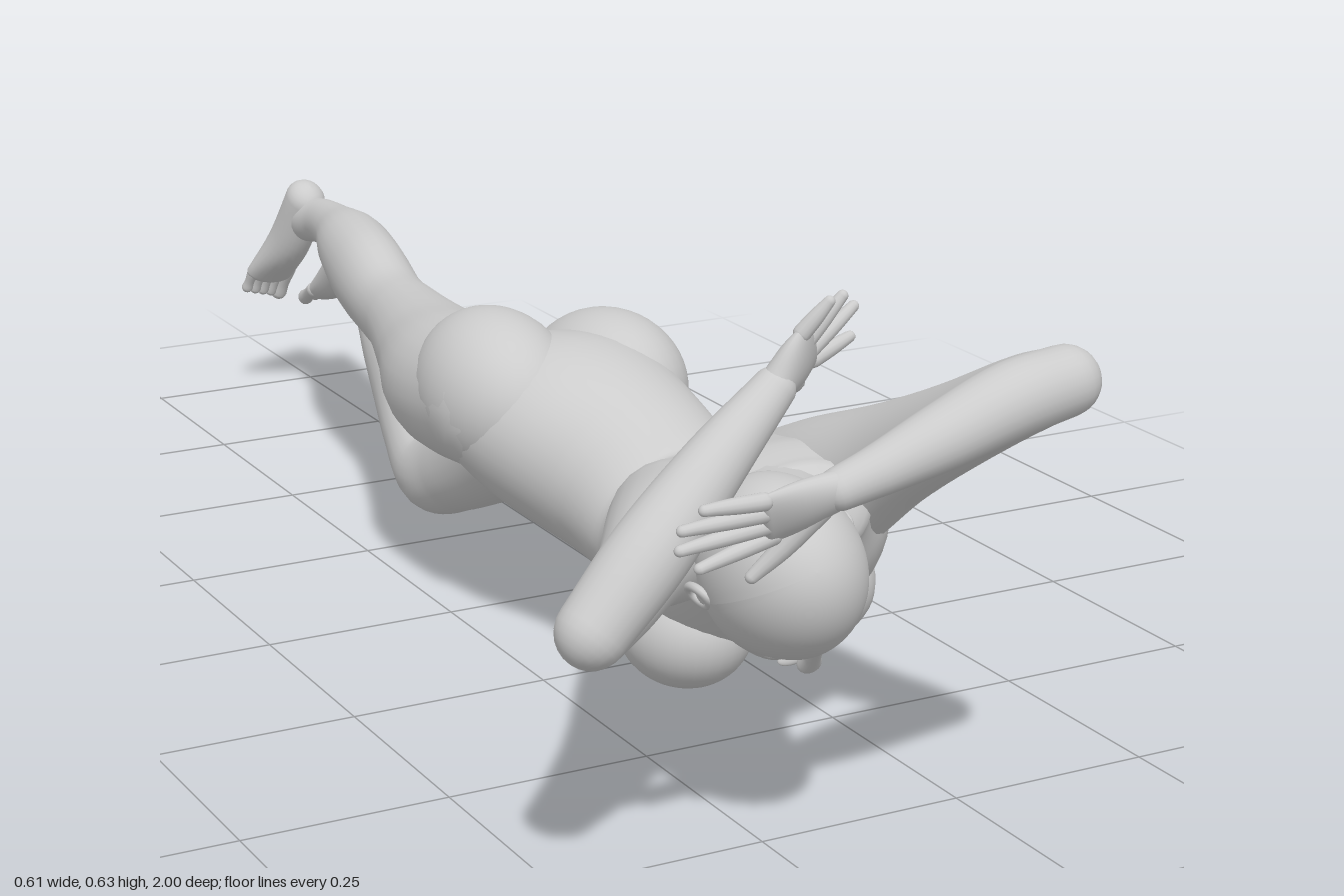
import * as THREE from 'three';

const V = (a) => new THREE.Vector3(a[0], a[1], a[2]);
const material = new THREE.MeshStandardMaterial({ color: 0xcccccc });

// Smooth closed skin through elliptical sections [x, y, z, halfWidth, halfHeight, roll], domed at both ends
function loft(name, sections, { up = [0, 1, 0], sides = 24, steps = 6, cap = 1 } = {}) {
  const path = new THREE.CatmullRomCurve3(sections.map(V));
  const size = new THREE.CatmullRomCurve3(
    sections.map((s) => new THREE.Vector3(s[3], s[4] ?? s[3], s[5] ?? 0)), false, 'catmullrom');
  const n = (sections.length - 1) * steps;
  const rings = [];
  const addRing = (t, shift, scale) => {
    const tangent = path.getTangent(t);
    const s = size.getPoint(t);
    const centre = path.getPoint(t).addScaledVector(tangent, shift * Math.min(s.x, s.y) * cap);
    rings.push({ centre, tangent, a: s.x * scale, b: s.y * scale, roll: s.z });
  };
  const capSteps = 6;
  for (let k = 0; k < capSteps; k++) {
    const f = (k / capSteps) * Math.PI / 2;
    addRing(0, -Math.cos(f), Math.max(Math.sin(f), 0.001));
  }
  for (let i = 0; i <= n; i++) addRing(i / n, 0, 1);
  for (let k = capSteps - 1; k >= 0; k--) {
    const f = (k / capSteps) * Math.PI / 2;
    addRing(1, Math.cos(f), Math.max(Math.sin(f), 0.001));
  }
  const position = [], index = [];
  rings.forEach((r, i) => {
    const side = V(up).cross(r.tangent).normalize();
    const top = r.tangent.clone().cross(side);
    for (let j = 0; j < sides; j++) {
      const q = (j / sides) * Math.PI * 2;
      const u = Math.cos(q) * r.a, v = Math.sin(q) * r.b;
      const c = Math.cos(r.roll), s = Math.sin(r.roll);
      const p = r.centre.clone().addScaledVector(side, u * c - v * s).addScaledVector(top, u * s + v * c);
      position.push(p.x, p.y, p.z);
      if (i < rings.length - 1) {
        const a = i * sides + j, b = i * sides + (j + 1) % sides;
        index.push(a, b, a + sides, b, b + sides, a + sides);
      }
    }
  });
  const g = new THREE.BufferGeometry();
  g.setAttribute('position', new THREE.Float32BufferAttribute(position, 3));
  g.setIndex(index);
  g.computeVertexNormals();
  const mesh = new THREE.Mesh(g, material);
  mesh.name = name;
  return mesh;
}

function blob(name, centre, radii, rotation = [0, 0, 0]) {
  const mesh = new THREE.Mesh(new THREE.SphereGeometry(1, 32, 24), material);
  mesh.position.set(...centre);
  mesh.scale.set(...radii);
  mesh.rotation.set(...rotation);
  mesh.name = name;
  return mesh;
}

// Flat palm with four fingers fanned along `across`, plus a thumb
function hand(name, wrist, knuckles, across, tips, thumb) {
  const group = new THREE.Group();
  group.name = name;
  const w = V(wrist), k = V(knuckles), x = V(across);
  const up = k.clone().sub(w).cross(x).normalize().toArray();
  const width = x.length();
  const mid = w.clone().lerp(k, 0.55);
  group.add(loft('palm', [[...wrist, 0.021, 0.018], [...mid.toArray(), width, 0.016],
    [...knuckles, width * 1.12, 0.01]], { up, cap: 0.8 }));
  tips.forEach((tip, i) => {
    const base = k.clone().addScaledVector(x, (i - 1.5) / 1.7);
    const joint = base.clone().lerp(V(tip), 0.5);
    group.add(loft('finger', [[...base.toArray(), 0.0095], [...joint.toArray(), 0.0085], [...tip, 0.006]],
      { up, sides: 12, steps: 4 }));
  });
  const root = w.clone().lerp(k, 0.35).addScaledVector(x, 0.5);
  const bend = root.clone().lerp(V(thumb), 0.55).addScaledVector(x, 0.1);
  group.add(loft('thumb', [[...root.toArray(), 0.014], [...bend.toArray(), 0.011], [...thumb, 0.007]],
    { up, sides: 12, steps: 4 }));
  return group;
}

// Pointed foot: the sole lies on the `sole` side, big toe on the `inner` x side
function foot(name, heel, mid, ball, tip, sole, inner) {
  const group = new THREE.Group();
  group.name = name;
  group.add(loft('footBody', [[...heel, 0.029, 0.033], [...mid, 0.031, 0.034], [...ball, 0.039, 0.018]],
    { up: sole, cap: 0.9 }));
  const b = V(ball), d = V(tip).sub(b);
  for (let i = 0; i < 5; i++) {
    const offset = new THREE.Vector3(inner * (0.029 - i * 0.0145), 0, 0);
    const base = b.clone().add(offset);
    const end = base.clone().addScaledVector(d, 0.9 - i * 0.09);
    const r = i === 0 ? 0.012 : 0.0085;
    group.add(loft('toe', [[...base.toArray(), r], [...base.clone().lerp(end, 0.6).toArray(), r * 0.85],
      [...end.toArray(), r]], { up: sole, sides: 12, steps: 3 }));
  }
  return group;
}

// Head in its own axes: x to its left ear, y to the crown, z out of the face
function head() {
  const group = new THREE.Group();
  group.name = 'head';
  const g = new THREE.SphereGeometry(1, 64, 48);
  const p = g.attributes.position;
  const bump = (x, y, cx, cy, r) => Math.exp(-((x - cx) ** 2 + (y - cy) ** 2) / (r * r));
  for (let i = 0; i < p.count; i++) {
    let x = p.getX(i), y = p.getY(i), z = p.getZ(i);
    const low = Math.max(0, -y);
    x *= 0.085 * (1 - 0.28 * low * low);
    z *= z > 0 ? 0.097 : 0.103 * (1 - 0.45 * low);
    z += 0.055 * low * low;
    y *= 0.115;
    if (p.getZ(i) > 0) {
      for (const s of [-1, 1]) {
        z -= 0.014 * bump(x, y, s * 0.033, -0.012, 0.019);
        z += 0.004 * bump(x, y, s * 0.036, -0.045, 0.02);
      }
      z += 0.006 * bump(x, y, 0, -0.1, 0.02);
    }
    p.setXYZ(i, x, y, z);
  }
  g.computeVertexNormals();
  const skull = new THREE.Mesh(g, material);
  skull.name = 'skull';
  group.add(skull);
  group.add(loft('nose', [[0, 0.004, 0.09, 0.008], [0, -0.02, 0.102, 0.009], [0, -0.04, 0.11, 0.014, 0.011]],
    { up: [0, 0, 1], sides: 16 }));
  group.add(blob('upperLip', [0, -0.066, 0.101], [0.024, 0.006, 0.01]));
  group.add(blob('lowerLip', [0, -0.077, 0.1], [0.02, 0.007, 0.01]));
  for (const s of [-1, 1]) {
    group.add(blob('eyelid', [s * 0.033, -0.013, 0.074], [0.017, 0.011, 0.012]));
    const ear = new THREE.Mesh(new THREE.TorusGeometry(0.015, 0.005, 10, 24), material);
    ear.name = 'earRim';
    ear.position.set(s * 0.085, -0.018, -0.008);
    ear.rotation.set(0, s * (Math.PI / 2 - 0.3), 0);
    ear.scale.set(0.9, 1.5, 1);
    group.add(ear, blob('earInner', [s * 0.08, -0.018, -0.006], [0.006, 0.019, 0.012]));
  }
  const x = new THREE.Vector3(0.93, 0.33, 0.1).normalize();
  const z = x.clone().cross(new THREE.Vector3(-0.22, 0.3, 0.93)).normalize();
  group.quaternion.setFromRotationMatrix(new THREE.Matrix4().makeBasis(x, z.clone().cross(x), z));
  group.position.set(-0.018, 0.335, 0.795);
  return group;
}

export function createModel() {
  const model = new THREE.Group();
  model.name = 'lyingFigure';

  // Torso from pelvis to shoulders, twisting along the spine
  model.add(loft('torso', [
    [0.115, 0.265, -0.04, 0.12, 0.075, -0.15], [0.115, 0.27, 0.03, 0.155, 0.1, -0.15],
    [0.122, 0.265, 0.11, 0.15, 0.118, -0.1], [0.145, 0.232, 0.21, 0.124, 0.112, 0],
    [0.155, 0.2, 0.31, 0.117, 0.095, 0.1], [0.145, 0.212, 0.41, 0.138, 0.11, 0.2],
    [0.13, 0.25, 0.51, 0.15, 0.118, 0.25], [0.105, 0.3, 0.6, 0.13, 0.09, 0.28],
    [0.095, 0.325, 0.65, 0.09, 0.06, 0.28]], { sides: 40, cap: 0.5 }));
  model.add(blob('rightBreast', [0.055, 0.152, 0.485], [0.077, 0.072, 0.085]));
  model.add(blob('leftBreast', [0.218, 0.18, 0.485], [0.075, 0.072, 0.085]));
  model.add(blob('rightButtock', [0.04, 0.307, 0.045], [0.094, 0.102, 0.13], [0.1, 0, 0]));
  model.add(blob('leftButtock', [0.19, 0.293, 0.05], [0.096, 0.1, 0.13], [-0.2, 0, 0]));

  // Neck and head
  model.add(loft('neck', [[0.11, 0.3, 0.58, 0.085, 0.075], [0.07, 0.325, 0.67, 0.06, 0.058],
    [0.015, 0.34, 0.755, 0.052]]));
  model.add(head());

  // Left arm, raised forward and folded across
  model.add(loft('leftUpperArm', [[0.19, 0.27, 0.47, 0.075, 0.085], [0.195, 0.325, 0.57, 0.074, 0.078],
    [0.203, 0.39, 0.675, 0.055, 0.058], [0.205, 0.455, 0.785, 0.043, 0.047],
    [0.207, 0.52, 0.895, 0.039, 0.041], [0.206, 0.548, 0.953, 0.036]]));
  model.add(loft('leftForearm', [[0.206, 0.55, 0.955, 0.037], [0.14, 0.54, 0.958, 0.039],
    [0.06, 0.513, 0.957, 0.034], [-0.01, 0.488, 0.953, 0.026], [-0.05, 0.474, 0.948, 0.022]]));
  model.add(hand('leftHand', [-0.045, 0.475, 0.948], [-0.122, 0.45, 0.935], [0.014, -0.026, -0.012],
    [[-0.2, 0.474, 0.945], [-0.221, 0.455, 0.94], [-0.217, 0.431, 0.93], [-0.186, 0.403, 0.916]],
    [-0.12, 0.38, 0.905]));

  // Right arm, out to the side with the hand raised above the head
  model.add(loft('rightUpperArm', [[0.04, 0.27, 0.49, 0.08], [-0.03, 0.293, 0.58, 0.068],
    [-0.115, 0.31, 0.68, 0.049, 0.047], [-0.195, 0.315, 0.77, 0.041, 0.039],
    [-0.267, 0.326, 0.848, 0.037]]));
  model.add(loft('rightForearm', [[-0.268, 0.33, 0.852, 0.038], [-0.2, 0.4, 0.845, 0.042],
    [-0.12, 0.475, 0.83, 0.034], [-0.045, 0.537, 0.815, 0.023]], { up: [0, 0, 1] }));
  model.add(hand('rightHand', [-0.045, 0.537, 0.815], [0.002, 0.572, 0.802], [0.019, -0.023, -0.018],
    [[0.008, 0.625, 0.83], [0.033, 0.624, 0.815], [0.063, 0.603, 0.79], [0.072, 0.565, 0.772]],
    [0.02, 0.525, 0.76]));

  // Right leg, stretched back
  model.add(loft('rightLeg', [[0.04, 0.3, 0.06, 0.094], [0.045, 0.285, -0.08, 0.09],
    [0.072, 0.285, -0.2, 0.073, 0.071], [0.1, 0.287, -0.33, 0.057], [0.113, 0.288, -0.41, 0.051, 0.056],
    [0.127, 0.306, -0.51, 0.053, 0.064], [0.147, 0.32, -0.61, 0.05, 0.052],
    [0.17, 0.319, -0.71, 0.036, 0.037], [0.182, 0.313, -0.79, 0.03, 0.033], [0.18, 0.305, -0.84, 0.03, 0.033]]));
  model.add(foot('rightFoot', [0.176, 0.335, -0.842], [0.168, 0.265, -0.883], [0.156, 0.205, -0.932],
    [0.15, 0.16, -0.958], [0, 0.5, -0.85], 1));

  // Left leg, knee resting on the ground
  model.add(loft('leftLeg', [[0.193, 0.29, 0.06, 0.096], [0.193, 0.225, -0.07, 0.093],
    [0.182, 0.152, -0.19, 0.078], [0.163, 0.088, -0.295, 0.063], [0.155, 0.065, -0.355, 0.057, 0.06],
    [0.165, 0.092, -0.42, 0.054, 0.056], [0.188, 0.135, -0.51, 0.053, 0.064],
    [0.212, 0.165, -0.61, 0.047, 0.05], [0.23, 0.196, -0.71, 0.034, 0.036],
    [0.238, 0.213, -0.78, 0.029, 0.033], [0.24, 0.215, -0.825, 0.029, 0.033]]));
  model.add(foot('leftFoot', [0.238, 0.25, -0.808], [0.248, 0.205, -0.872], [0.26, 0.165, -0.938],
    [0.268, 0.138, -0.992], [0, 0.85, -0.5], -1));

  return model;
}
